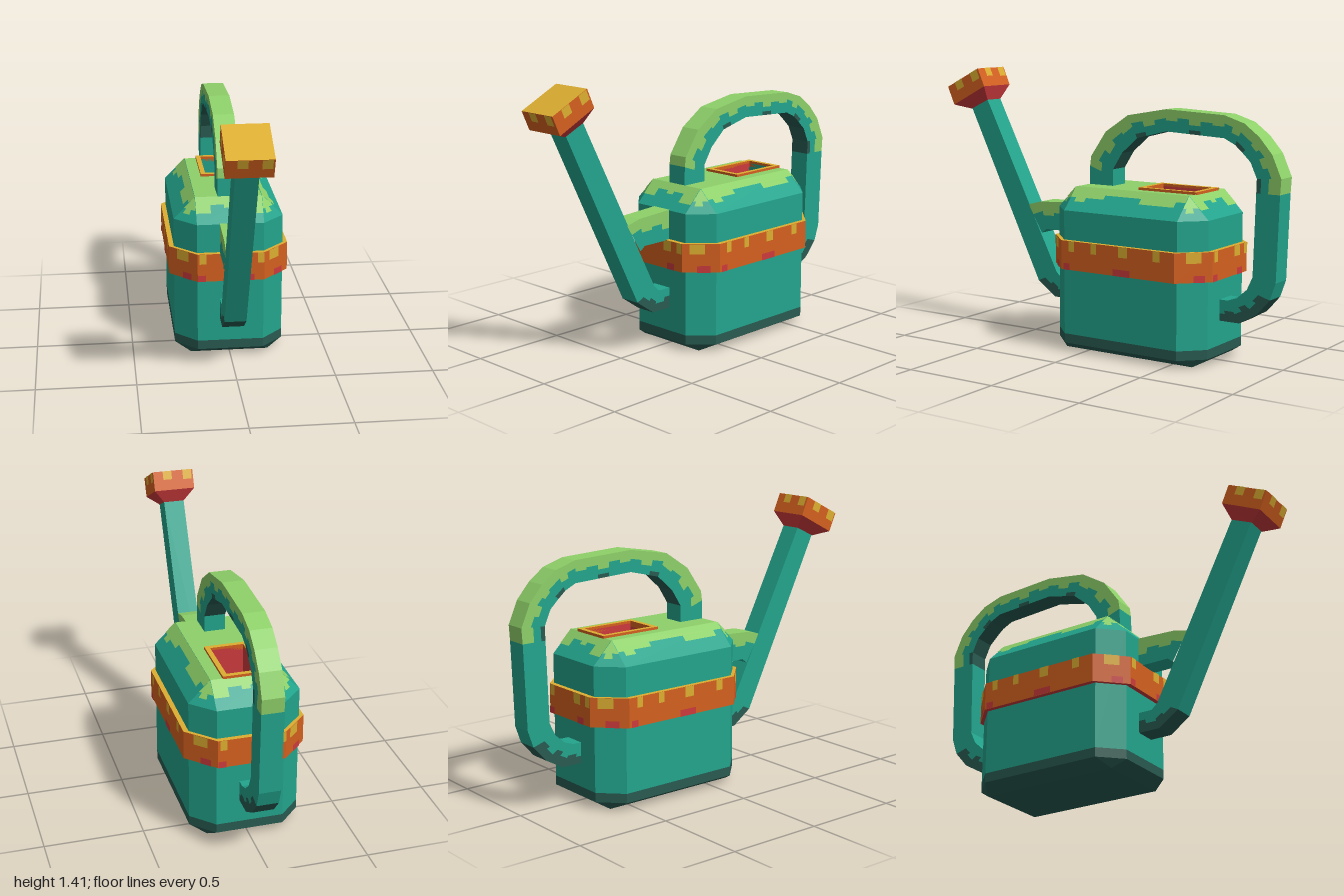
import * as THREE from 'three';

const mat = (name, color) => Object.assign(new THREE.MeshStandardMaterial({ color }), { name });
const teal = mat('teal enamel', 0x22a48c);
const lime = mat('lime paint', 0x8ed069);
const dark = mat('dark green', 0x285a50);
const orange = mat('orange', 0xd4601f);
const gold = mat('gold', 0xdcae30);
const red = mat('red', 0xcc3a3c);

const V = (x, y, z) => new THREE.Vector3(x, y, z);
const mix = (a, b, t) => a.clone().lerp(b, t);

// Collects flat faces by colour; each face is turned away from the point ref
function makePart(name) {
  const lists = new Map();
  const tri = (m, a, b, c, ref, inward) => {
    const n = b.clone().sub(a).cross(c.clone().sub(a));
    if (n.length() < 1e-7) return;
    const mid = a.clone().add(b).add(c).divideScalar(3).sub(ref);
    if ((n.dot(mid) < 0) !== inward) [b, c] = [c, b];
    if (!lists.has(m)) lists.set(m, []);
    for (const p of [a, b, c]) lists.get(m).push(p.x, p.y, p.z);
  };
  const quad = (m, a, b, c, d, ref, inward = false) => {
    tri(m, a, b, c, ref, inward);
    tri(m, a, c, d, ref, inward);
  };
  // Join two rings with faces
  const loft = (m, r0, r1, ref, inward) => r0.forEach((p, i) => {
    const j = (i + 1) % r0.length;
    quad(m, p, r0[j], r1[j], r1[i], ref, inward);
  });
  // Painted rectangles [u0, u1, v0, v1] just above a face; v runs downward
  const paint = (m, [tl, tr, br, bl], rects, ref) => {
    const n = br.clone().sub(tl).cross(bl.clone().sub(tr)).normalize();
    if (n.dot(tl.clone().add(br).multiplyScalar(0.5).sub(ref)) < 0) n.negate();
    const at = (u, v) => mix(mix(tl, tr, u), mix(bl, br, u), v).addScaledVector(n, 0.003);
    for (const [u0, u1, v0, v1] of rects)
      quad(m, at(u0, v0), at(u1, v0), at(u1, v1), at(u0, v1), ref);
  };
  const build = () => {
    const group = new THREE.Group();
    group.name = name;
    for (const [m, list] of lists) {
      const g = new THREE.BufferGeometry();
      g.setAttribute('position', new THREE.Float32BufferAttribute(list, 3));
      g.computeVertexNormals();
      const mesh = new THREE.Mesh(g, m);
      mesh.name = `${name} ${m.name}`;
      group.add(mesh);
    }
    return group;
  };
  return { quad, loft, paint, build };
}

// Eight-sided ring around the can; d grows it sideways, c is the corner cut
const ZC = -0.2325;
function ring(y, hx, hz, c) {
  const pts = [[hx - c, hz], [hx, hz - c], [hx, c - hz], [hx - c, -hz],
    [c - hx, -hz], [-hx, c - hz], [-hx, hz - c], [c - hx, hz]];
  return pts.map(([x, z]) => V(x, y, z + ZC));
}
const rect = (y, hx, z0, z1) => [V(-hx, y, z0), V(hx, y, z0), V(hx, y, z1), V(-hx, y, z1)];

// Square bar along stations [outer z, outer y, inner z, inner y];
// coat(i) gives the paint on the outer and inner faces of a segment
function makeBar(name, stations, coat) {
  const part = makePart(name), w = 0.055;
  const at = (x, i, t, f) => {
    const [a, b] = [stations[i], stations[i + 1]].map(([oz, oy, iz, iy]) =>
      mix(V(x, oy, oz), V(x, iy, iz), f));
    return mix(a, b, t);
  };
  let step = 0;
  for (let i = 0; i < stations.length - 1; i++) {
    const { outer = teal, inner = teal } = coat(i);
    const ref = mix(at(0, i, 0.5, 0), at(0, i, 0.5, 1), 0.5);
    for (const [f, m] of [[0, outer], [1, inner]])
      part.quad(m, at(-w, i, 0, f), at(w, i, 0, f), at(w, i, 1, f), at(-w, i, 1, f), ref);
    const n = Math.max(1, Math.round(at(0, i, 0, 0).distanceTo(at(0, i, 1, 0)) / 0.07));
    for (let k = 0; k < n; k++, step++) {
      // ragged paint edge on both sides
      const d = outer === teal ? 0 : [0.6, 0.4, 0.5, 0.35][step % 4];
      const e = inner !== teal && step % 5 === 2 ? 0.82 : 1;
      for (const x of [-w, w])
        for (const [m, f0, f1] of [[outer, 0, d], [teal, d, e], [inner, e, 1]])
          part.quad(m, at(x, i, k / n, f0), at(x, i, (k + 1) / n, f0),
            at(x, i, (k + 1) / n, f1), at(x, i, k / n, f1), ref);
    }
  }
  return part.build();
}

function makeBody() {
  const part = makePart('body'), mid = V(0, 0.4, ZC);
  const foot = ring(0, 0.2, 0.375, 0), low = ring(0.042, 0.28, 0.4425, 0.11);
  const line = ring(0.09, 0.28, 0.4425, 0.11), high = ring(0.725, 0.28, 0.4425, 0.11);
  const top = ring(0.835, 0.17, 0.3325, 0);
  part.quad(dark, foot[0], foot[2], foot[4], foot[6], mid);
  part.loft(dark, foot, low, mid);
  part.loft(dark, low, line, mid);
  part.loft(teal, line, high, mid);
  part.loft(teal, high, top, mid);
  // lime paint running over the shoulder
  const drips = {
    long: [[0, 1, 0, 0.28], [0, 0.3, 0.28, 0.45], [0.05, 0.14, 0.45, 0.62], [0.62, 0.92, 0.28, 0.5]],
    short: [[0, 1, 0, 0.3], [0, 0.22, 0.3, 0.6], [0.75, 1, 0.3, 0.65], [0.42, 0.55, 0.3, 0.42]],
    corner: [[0, 1, 0, 0.5], [0.2, 0.6, 0.5, 0.7]],
  };
  for (let i = 0; i < 8; i++) {
    const j = (i + 1) % 8;
    const kind = i % 2 === 0 ? 'corner' : i % 4 === 1 ? 'long' : 'short';
    part.paint(lime, [top[i], top[j], high[j], high[i]], drips[kind], mid);
  }
  // top plate around the filling hole, and the well below it
  const edge = rect(0.835, 0.17, 0.1, -0.565), hole = rect(0.835, 0.085, -0.26, -0.545);
  part.loft(lime, edge, hole, mid);
  const floor = rect(0.5, 0.085, -0.26, -0.545), centre = V(0, 0.67, -0.4);
  for (let i = 0; i < 4; i++) {
    const j = (i + 1) % 4;
    part.quad(i === 2 ? teal : red, hole[i], hole[j], floor[j], floor[i], centre, true);
  }
  part.quad(red, ...floor, centre, true);
  return part.build();
}

function makeBand() {
  const part = makePart('band'), mid = V(0, 0.5, ZC);
  const at = (y, d) => ring(y, 0.28 + d, 0.4425 + d, 0.11 + d);
  const [lo, hi] = [at(0.428, 0.025), at(0.576, 0.025)];
  part.loft(orange, lo, hi, mid);
  part.loft(gold, hi, at(0.576, -0.005), mid);
  part.loft(red, lo, at(0.428, -0.005), mid);
  const goldAt = [[[0.2, 0.6]], [[0.07, 0.12], [0.27, 0.32], [0.52, 0.6], [0.82, 0.88]],
    [[0.3, 0.7]], [[0.03, 0.13], [0.62, 0.78], [0.9, 1]]];
  const redAt = [[[0.4, 0.75]], [[0.02, 0.08], [0.47, 0.62]], [[0.5, 0.8]], [[0, 0.12], [0.7, 0.85]]];
  for (let i = 0; i < 8; i++) {
    const j = (i + 1) % 8, face = [hi[i], hi[j], lo[j], lo[i]];
    part.paint(gold, face, goldAt[i % 4].map(([a, b]) => [a, b, 0, 0.36]), mid);
    part.paint(red, face, redAt[i % 4].map(([a, b]) => [a, b, 0.77, 1]), mid);
  }
  return part.build();
}

function makeRim() {
  const shape = new THREE.Shape(rect(0, 0.11, 0.235, 0.57).map(p => new THREE.Vector2(p.x, p.z)));
  shape.holes.push(new THREE.Path(rect(0, 0.085, 0.26, 0.545).map(p => new THREE.Vector2(p.x, p.z))));
  const g = new THREE.ExtrudeGeometry(shape, { depth: 0.03, bevelEnabled: false });
  g.rotateX(-Math.PI / 2).translate(0, 0.818, 0);
  const mesh = new THREE.Mesh(g, [gold, orange]);
  mesh.name = 'fillingRim';
  return mesh;
}

function makeRose() {
  const part = makePart('sprinklerHead'), mid = V(0, 1.3, 0.87);
  const ends = (w, y0, z0, y1, z1) => [V(-w, y0, z0), V(w, y0, z0), V(w, y1, z1), V(-w, y1, z1)];
  const face = ends(0.11, 1.307, 1, 1.412, 0.79);
  const back = ends(0.11, 1.212, 0.957, 1.318, 0.748);
  const neck = ends(0.055, 1.19, 0.88, 1.242, 0.77);
  part.quad(gold, ...face, mid);
  part.loft(orange, face, back, mid);
  part.loft(red, back, neck, mid);
  for (let i = 0; i < 4; i++) {
    const j = (i + 1) % 4;
    part.paint(gold, [face[i], face[j], back[j], back[i]],
      [[0.24, 0.46, 0, 0.45], [0.74, 0.96, 0, 0.5]], mid);
  }
  return part.build();
}

export function createModel() {
  const model = new THREE.Group();
  model.name = 'wateringCan';
  const handle = [
    [0.10, 0.8, -0.045, 0.8], [0.097, 0.93, -0.045, 0.88], [0.09, 0.98, -0.045, 0.92],
    [0, 1.11, -0.1, 1.007], [-0.135, 1.2, -0.19, 1.087], [-0.36, 1.24, -0.36, 1.13],
    [-0.69, 1.225, -0.69, 1.114], [-0.8, 1.19, -0.75, 1.085], [-0.88, 1.13, -0.79, 1.05],
    [-0.95, 1.05, -0.835, 1.007], [-1, 0.937, -0.87, 0.93], [-0.995, 0.86, -0.868, 0.86],
    [-0.98, 0.434, -0.855, 0.45], [-0.95, 0.348, -0.825, 0.386], [-0.88, 0.268, -0.77, 0.337],
    [-0.785, 0.214, -0.72, 0.32], [-0.65, 0.214, -0.65, 0.32]];
  const spout = [[0.19, 0.214, 0.19, 0.32], [0.326, 0.214, 0.283, 0.32],
    [0.433, 0.289, 0.315, 0.348], [0.88, 1.2, 0.77, 1.242]];
  const strut = [[0.19, 0.729, 0.19, 0.573], [0.417, 0.717, 0.38, 0.573], [0.497, 0.696, 0.41, 0.55]];
  model.add(
    makeBody(), makeBand(), makeRim(), makeRose(),
    makeBar('handle', handle, i => ({
      outer: i > 0 && i < 11 ? lime : i > 12 ? dark : teal,
      inner: i > 1 && i < 11 ? dark : teal,
    })),
    makeBar('spout', spout, i => ({ outer: i < 2 ? dark : teal })),
    makeBar('spoutBrace', strut, () => ({ outer: lime })));
  return model;
}
